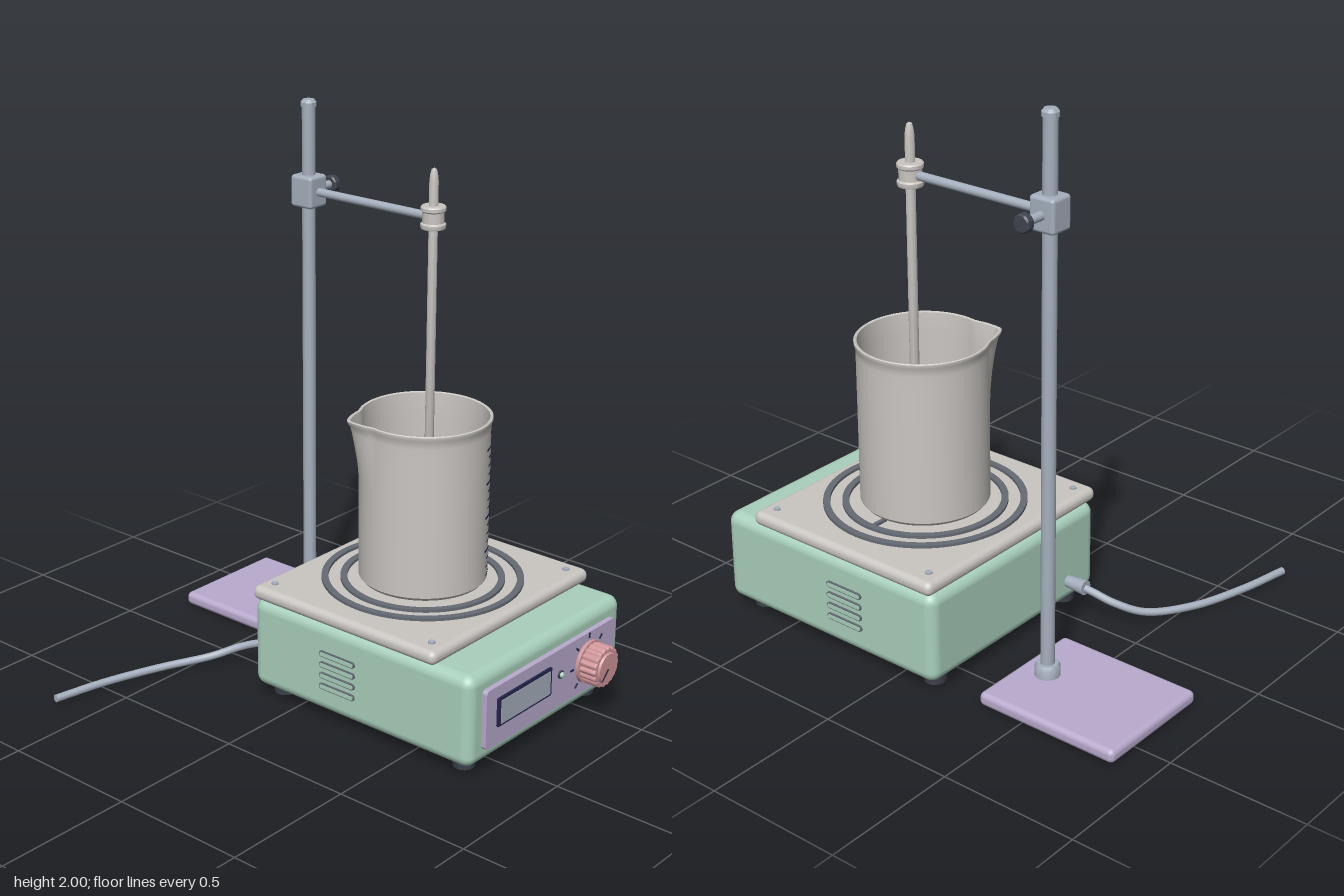
import * as THREE from 'three';
import { RoundedBoxGeometry } from 'three/addons/geometries/RoundedBoxGeometry.js';
import { toCreasedNormals } from 'three/addons/utils/BufferGeometryUtils.js';

const material = (name, color, side = THREE.FrontSide) => {
  const m = new THREE.MeshStandardMaterial({ color, side });
  m.name = name;
  return m;
};

export function createModel() {
  const mint = material('mint', 0xa9d0bc);
  const lilac = material('lilac', 0xb9aacd);
  const warmGrey = material('warmGrey', 0xcac6c2);
  const steel = material('steel', 0xa5afbd);
  const charcoal = material('charcoal', 0x40444f);
  const ringGrey = material('ringGrey', 0x666b74);
  const rose = material('rose', 0xd0969a);
  const navy = material('navy', 0x26284e, THREE.DoubleSide);

  const model = new THREE.Group();
  model.name = 'hotplateStirrer';

  const add = (name, geometry, mat, x = 0, y = 0, z = 0, parent = model) => {
    const mesh = new THREE.Mesh(geometry, mat);
    mesh.name = name;
    mesh.position.set(x, y, z);
    parent.add(mesh);
    return mesh;
  };
  const box = (w, h, d, r) => new RoundedBoxGeometry(w, h, d, 4, r);
  const rod = (r, length, top = r) => new THREE.CylinderGeometry(top, r, length, 28);
  const lathe = (points, segments = 40, crease = 0.6) => toCreasedNormals(
    new THREE.LatheGeometry(points.map(([r, y]) => new THREE.Vector2(r, y)), segments), crease);
  // Rounded rectangle plate facing +z, its back at z = 0
  const plate = (w, h, depth, r) => {
    const s = new THREE.Shape();
    const a = w / 2 - r, b = h / 2 - r;
    s.absarc(a, b, r, 0, Math.PI / 2);
    s.absarc(-a, b, r, Math.PI / 2, Math.PI);
    s.absarc(-a, -b, r, Math.PI, Math.PI * 1.5);
    s.absarc(a, -b, r, Math.PI * 1.5, Math.PI * 2);
    return new THREE.ExtrudeGeometry(s, { depth, bevelEnabled: false, curveSegments: 8 });
  };

  // Housing, top plate, feet and plate screws
  const cx = 0.257, cz = 0.225;
  add('housing', box(0.87, 0.333, 0.955, 0.04), mint, cx, 0.2065, 0.293);
  add('topPlate', box(0.888, 0.052, 0.805, 0.024), warmGrey, cx, 0.399, 0.222);
  for (const x of [-0.088, 0.602]) {
    for (const z of [-0.113, 0.685]) add('foot', rod(0.038, 0.05, 0.045), charcoal, x, 0.025, z);
  }
  for (const x of [-0.125, 0.638]) {
    for (const z of [-0.125, 0.568]) add('plateScrew', rod(0.012, 0.008), steel, x, 0.427, z);
  }

  // Heating rings on the plate
  for (const r of [0.342, 0.276]) {
    add('heatingRing', lathe([[r - 0.012, 0.42], [r + 0.012, 0.42], [r + 0.012, 0.435],
      [r - 0.012, 0.435], [r - 0.012, 0.42]], 72), ringGrey, cx, 0, cz);
  }
  add('heatingBar', new THREE.BoxGeometry(0.07, 0.012, 0.014), ringGrey, 0.498, 0.429, cz);

  // Side vents
  for (const side of [-1, 1]) {
    for (let i = 0; i < 4; i++) {
      const vent = add('vent', plate(0.155, 0.022, 0.009, 0.01), ringGrey,
        cx + side * 0.433, 0.142 + i * 0.041, 0.207);
      vent.rotation.y = side * Math.PI / 2;
      add('ventInset', plate(0.147, 0.014, 0.002, 0.006), mint, 0, 0, 0.009, vent);
    }
  }

  // Control panel with display and indicator lamp
  add('controlPanel', plate(0.74, 0.217, 0.025, 0.015), lilac, cx, 0.2065, 0.765);
  add('displayFrame', plate(0.3, 0.105, 0.008, 0.004), navy, 0.092, 0.219, 0.789);
  add('displayScreen', plate(0.276, 0.086, 0.003, 0.002), steel, 0.095, 0.217, 0.796);
  add('lampRim', rod(0.015, 0.008), charcoal, 0.301, 0.219, 0.792).rotation.x = Math.PI / 2;
  add('lamp', new THREE.SphereGeometry(0.011, 16, 10), mint, 0.301, 0.219, 0.795);

  // Fluted knob with its dial marks
  const knob = new THREE.Group();
  knob.name = 'controlKnob';
  knob.position.set(0.468, 0.206, 0.79);
  model.add(knob);
  const flutes = [];
  for (let i = 0; i < 144; i++) {
    const a = i / 144 * Math.PI * 2, r = 0.067 + 0.003 * Math.cos(a * 18);
    flutes.push(new THREE.Vector2(r * Math.cos(a), r * Math.sin(a)));
  }
  add('knobGrip', new THREE.ExtrudeGeometry(new THREE.Shape(flutes), {
    depth: 0.05, bevelSize: 0.004, bevelThickness: 0.008, bevelSegments: 2 }), rose, 0, 0, 0.019, knob);
  add('knobSkirt', rod(0.078, 0.014), rose, 0, 0, 0.006, knob).rotation.x = Math.PI / 2;
  add('knobCap', rod(0.056, 0.008, 0.053), rose, 0, 0, 0.081, knob).rotation.x = Math.PI / 2;
  const pointer = add('knobPointer', plate(0.007, 0.048, 0.002, 0.002), navy, -0.02, -0.02, 0.0845, knob);
  pointer.rotation.z = -Math.PI / 4;
  for (let i = -3; i <= 3; i++) {
    const a = i * Math.PI / 4;
    const mark = add('dialMark', plate(0.007, 0.02, 0.003, 0.002), navy,
      0.098 * Math.sin(a), 0.098 * Math.cos(a), 0, knob);
    mark.rotation.z = -a;
  }

  // Beaker: thin double wall, with the rim pulled out into a pouring lip
  const wall = [0.6, 0.8, 0.85, 0.9, 0.95, 0.99];
  const profile = [[0, 0.435], [0.215, 0.435], [0.225, 0.447], ...wall.map(y => [0.225, y]),
    [0.226, 1.015], [0.231, 1.023], [0.231, 1.033], [0.227, 1.036], [0.22, 1.033],
    ...wall.slice().reverse().map(y => [0.218, y]), [0.218, 0.455], [0.21, 0.448], [0, 0.448]];
  const beaker = new THREE.LatheGeometry(profile.map(([r, y]) => new THREE.Vector2(r, y)), 96);
  const p = beaker.attributes.position;
  const lipAngle = Math.atan2(-0.228, -0.16);
  for (let i = 0; i < p.count; i++) {
    const x = p.getX(i), y = p.getY(i), z = p.getZ(i);
    const turn = Math.atan2(x, z) - lipAngle;
    const off = Math.abs(Math.atan2(Math.sin(turn), Math.cos(turn)));
    const rise = Math.max(0, (y - 0.76) / 0.276);
    const pull = 1 + 0.21 * Math.max(0, 1 - off / 0.4) * rise ** 1.5;
    p.setXYZ(i, x * pull, y, z * pull);
  }
  add('beaker', toCreasedNormals(beaker, 0.6), warmGrey, cx, 0, cz);
  const liquid = add('liquid', new THREE.CircleGeometry(0.2185, 64), steel, cx, 0.75, cz);
  liquid.rotation.x = -Math.PI / 2;

  // Curved graduation marks on the beaker wall
  const arc = (name, y, height, from, to) => add(name, new THREE.CylinderGeometry(0.2268, 0.2268,
    height, 8, 1, true, from * Math.PI / 180, (to - from) * Math.PI / 180), navy, cx, y, cz);
  for (let i = 0; i < 16; i++) {
    const y = 0.467 + i * 0.0312, major = i % 4 === 3;
    arc('graduation', y, major ? 0.009 : 0.006, major ? 17 : 21, 36);
    if (major) arc('graduationDot', y, 0.014, 45, 50);
  }
  arc('graduationTopMark', 0.985, 0.016, 26, 30);

  // Mains cable and strain relief
  add('strainRelief', rod(0.021, 0.08, 0.027), steel, -0.025, 0.12, -0.222).rotation.x = -Math.PI / 2;
  const path = new THREE.CatmullRomCurve3([[-0.025, 0.12, -0.24], [-0.034, 0.108, -0.29],
    [-0.06, 0.08, -0.36], [-0.13, 0.042, -0.44], [-0.29, 0.027, -0.535], [-0.5, 0.026, -0.605],
    [-0.7, 0.026, -0.645]].map(v => new THREE.Vector3(...v)));
  add('cable', new THREE.TubeGeometry(path, 64, 0.014, 12), steel);
  const cableEnd = add('cableEnd', new THREE.CircleGeometry(0.014, 12), steel, -0.7, 0.026, -0.645);
  cableEnd.lookAt(path.getPoint(1).add(path.getTangent(1)));

  // Stand: base, pole, clamp block and thumb screw
  const px = 0.409, pz = -0.437, armY = 1.675;
  add('standBase', box(0.457, 0.05, 0.545, 0.02), lilac, px, 0.03, -0.602);
  add('poleCollar', lathe([[0, 0.05], [0.043, 0.05], [0.043, 0.088], [0.036, 0.1], [0, 0.1]]),
    steel, px, 0, pz);
  add('pole', rod(0.024, 1.92), steel, px, 1.02, pz);
  add('poleCap', lathe([[0, 1.975], [0.028, 1.975], [0.028, 1.99], [0.02, 2], [0, 2]]), steel, px, 0, pz);
  add('clampBlock', box(0.09, 0.115, 0.096, 0.012), steel, px, armY, pz);
  add('thumbScrew', rod(0.015, 0.09), steel, 0.482, armY, pz).rotation.z = -Math.PI / 2;
  add('thumbKnob', lathe([[0, 0], [0.026, 0], [0.031, 0.006], [0.031, 0.026], [0.026, 0.032], [0, 0.032]], 24),
    charcoal, 0.518, armY, pz).rotation.z = -Math.PI / 2;

  // Arm carrying the probe
  const probeZ = 0.124;
  add('arm', rod(0.015, 0.5), steel, px, armY, -0.15).rotation.x = Math.PI / 2;
  add('probeHolder', lathe([[0.016, 1.636], [0.042, 1.636], [0.044, 1.641], [0.044, 1.652], [0.038, 1.657],
    [0.038, 1.694], [0.044, 1.699], [0.044, 1.71], [0.04, 1.715], [0.016, 1.715]]), warmGrey, px, 0, probeZ);
  add('probe', lathe([[0, 0.52], [0.009, 0.524], [0.016, 0.54], [0.016, 1.8], [0.013, 1.825],
    [0.009, 1.84], [0, 1.845]], 28), warmGrey, px, 0, probeZ);

  return model;
}
